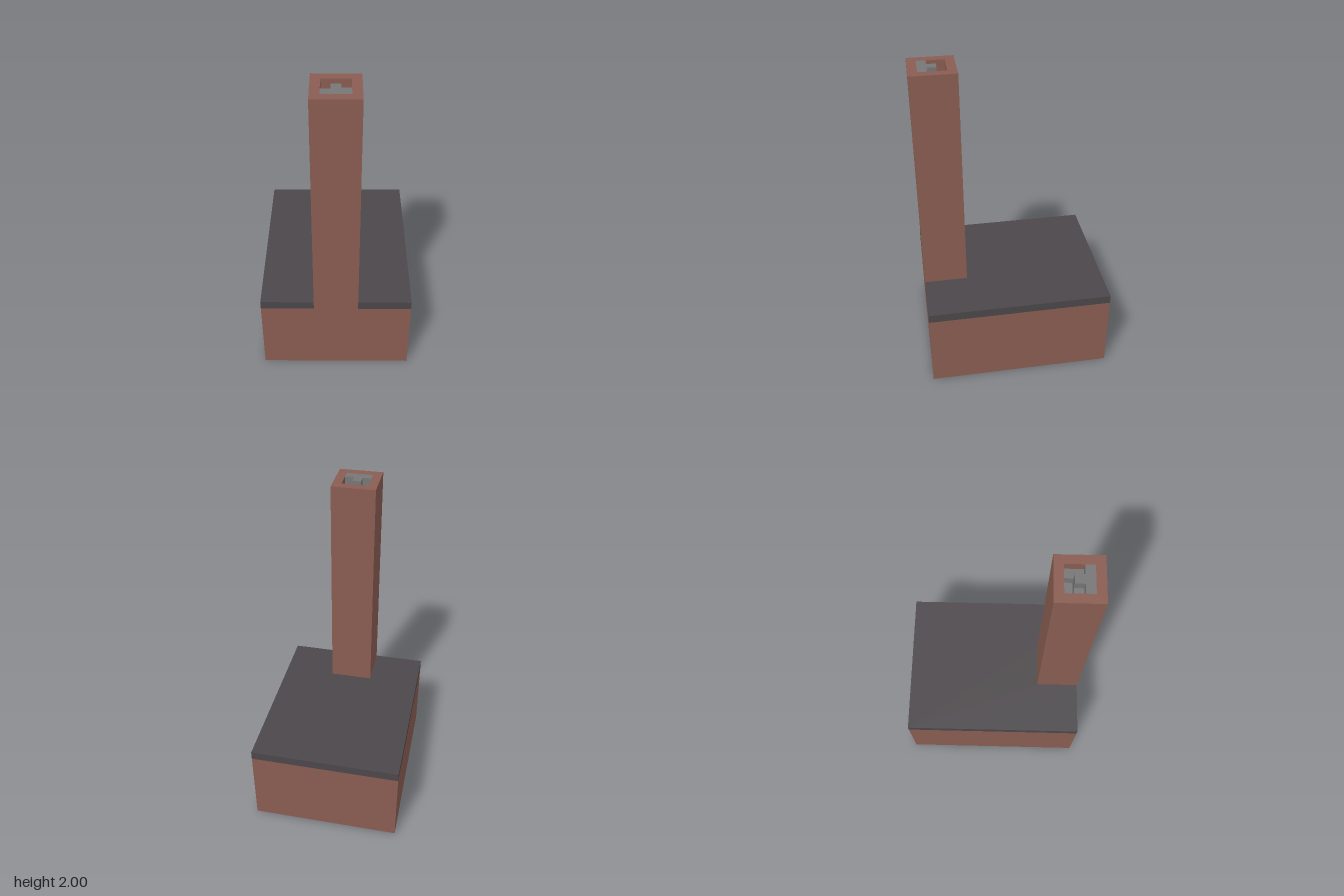
import * as THREE from 'three';

// One building block; the whole model is laid out in these units
const U = 2 / 36;

const material = (name, color) => {
  const m = new THREE.MeshStandardMaterial({ color });
  m.name = name;
  return m;
};

// Rectangle as plan points [x, z]
const rect = (x0, x1, z0, z1) => [[x0, z0], [x1, z0], [x1, z1], [x0, z1]];
const toVectors = (points) => points.map(([x, z]) => new THREE.Vector2(x * U, z * U));

// Upright solid from a plan outline, with optional holes, between two heights
function solid(name, mat, outline, y0, y1, holes = []) {
  const shape = new THREE.Shape(toVectors(outline));
  holes.forEach((h) => shape.holes.push(new THREE.Path(toVectors(h))));
  const geo = new THREE.ExtrudeGeometry(shape, { depth: (y1 - y0) * U, bevelEnabled: false });
  geo.rotateX(Math.PI / 2).translate(0, y1 * U, 0);
  const mesh = new THREE.Mesh(geo, mat);
  mesh.name = name;
  return mesh;
}

export function createModel() {
  const brick = material('brick brown', 0x8a5d52);
  const slate = material('slate', 0x4b474a);
  const smokeGrey = material('smoke grey', 0x777777);
  const darkRed = material('dark red', 0x6e3634);

  const model = new THREE.Group();
  model.name = 'chimneyHouse';

  // Walls around a square room, with the floor set into them
  const room = rect(-7.5, 7.5, -9.5, 5.5);
  model.add(solid('walls', brick, rect(-8.5, 8.5, -10.5, 10.5), 0, 9, [room]));

  // Ash patch let into the middle of the floor
  const ash = [[-1.5, -3.5], [0.5, -3.5], [0.5, -2.5], [1.5, -2.5],
    [1.5, -1.5], [0.5, -1.5], [0.5, -0.5], [-1.5, -0.5]];
  model.add(solid('floor', darkRed, room, 0, 1, [ash]));
  model.add(solid('ash', smokeGrey, ash, 0, 1));

  // Flat roof, notched at the front for the chimney
  model.add(solid('roof', slate, [[-8.5, -10.5], [8.5, -10.5], [8.5, 10.5], [2.5, 10.5],
    [2.5, 5.5], [-2.5, 5.5], [-2.5, 10.5], [-8.5, 10.5]], 9, 10));

  // Chimney with a square flue
  model.add(solid('chimney', brick, rect(-2.5, 2.5, 5.5, 10.5), 9, 36,
    [rect(-1.5, 1.5, 6.5, 9.5)]));

  // Smoke filling the flue, stepped at the top
  const smoke = new THREE.Group();
  smoke.name = 'smoke';
  const plume = [[-1.5, 8.5], [-0.5, 8.5], [-0.5, 7.5], [0.5, 7.5],
    [0.5, 8.5], [1.5, 8.5], [1.5, 9.5], [-1.5, 9.5]];
  smoke.add(
    solid('smokeTop', smokeGrey, plume, 30, 36),
    solid('smokeBack', smokeGrey, rect(-1.5, 0.5, 6.5, 7.5), 30, 34),
    solid('smokeRight', smokeGrey, rect(0.5, 1.5, 6.5, 8.5), 30, 35),
    solid('smokeLeft', smokeGrey, rect(-1.5, -0.5, 7.5, 8.5), 30, 35),
  );
  model.add(smoke);

  return model;
}
